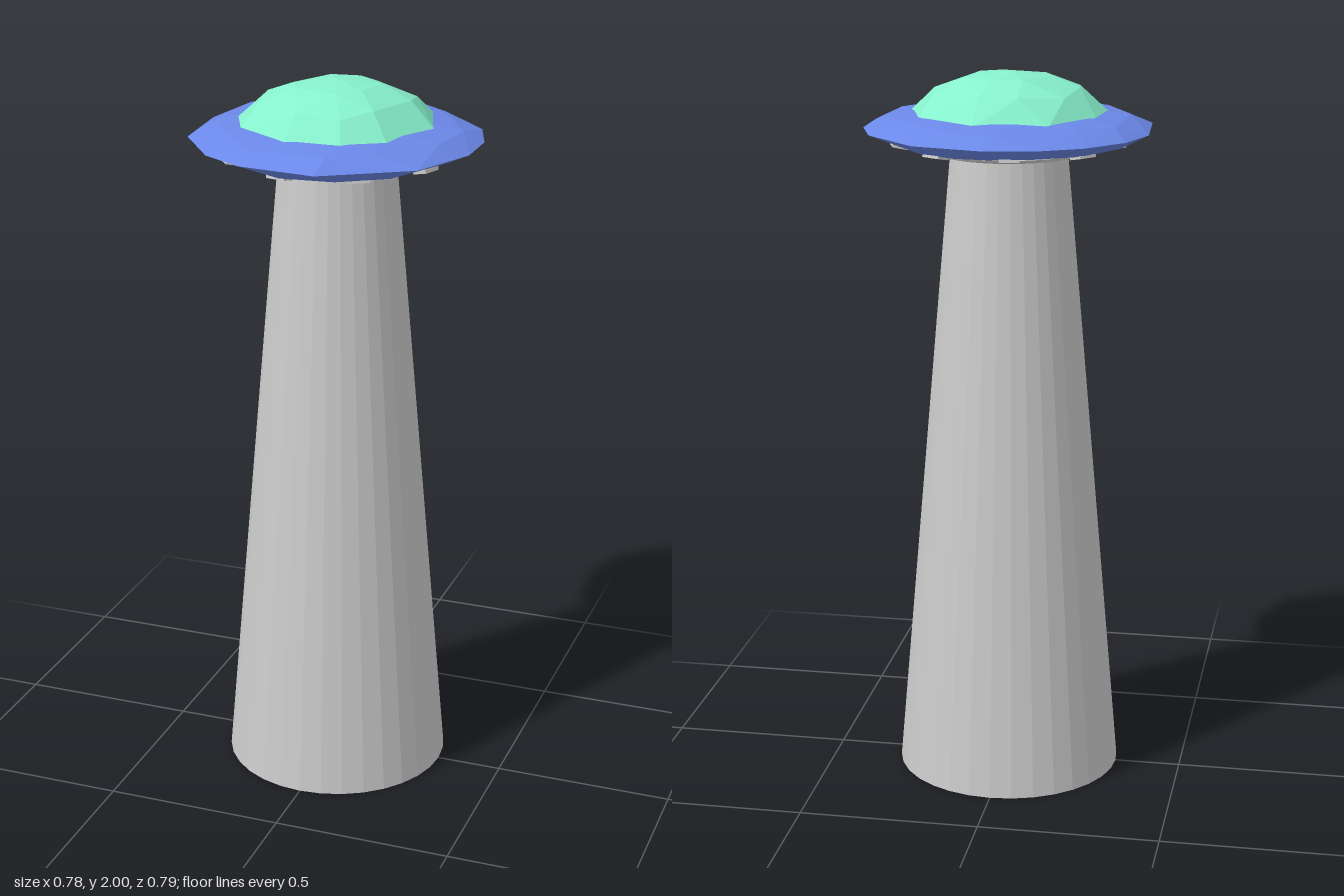
import * as THREE from 'three';
import { ConvexGeometry } from 'three/addons/geometries/ConvexGeometry.js';

const paint = (color, side = THREE.FrontSide) =>
  new THREE.MeshStandardMaterial({ color, flatShading: true, side });

// Outlines seen from above, as [x, z] corners.
const rimOutline = [
  [0, -0.397], [0.195, -0.35], [0.345, -0.2], [0.39, -0.07], [0.39, 0.07],
  [0.31, 0.255], [0.08, 0.395], [-0.135, 0.373], [-0.255, 0.305], [-0.375, 0.145],
  [-0.39, -0.07], [-0.345, -0.2], [-0.255, -0.305], [-0.135, -0.373],
];
const domeOutline = [
  [0.055, -0.27], [0.22, -0.17], [0.275, 0], [0.205, 0.185], [0.1, 0.258],
  [-0.055, 0.27], [-0.215, 0.175], [-0.27, 0.055], [-0.255, -0.095], [-0.145, -0.237],
];

const outlineAt = (outline, y) => outline.map(([x, z]) => new THREE.Vector3(x, y, z));

// Slightly uneven ring of points on a squashed sphere (radius a, height b, centre y).
function ring(count, r, a, b, y, phase) {
  return Array.from({ length: count }, (_, i) => {
    const t = ((i + phase + 0.18 * Math.sin(i * 2.7 + phase * 5)) / count) * Math.PI * 2;
    const d = r * (1 + 0.06 * Math.sin(i * 4.1 + phase * 3));
    return new THREE.Vector3(d * Math.sin(t), y + b * Math.sqrt(1 - (d / a) ** 2), d * Math.cos(t));
  });
}

export function createModel() {
  const model = new THREE.Group();
  model.name = 'saucerWithBeam';
  const add = (name, geometry, material, parent = model) => {
    const mesh = new THREE.Mesh(geometry, material);
    mesh.name = name;
    parent.add(mesh);
    return mesh;
  };
  const grey = paint(0xcccccc);
  const midY = 1.845;

  // Light beam: open tapered tube
  const beam = add('beam', new THREE.CylinderGeometry(0.158, 0.315, 1.81, 32, 1, true),
    paint(0xcccccc, THREE.DoubleSide));
  beam.position.y = 0.905;

  // Faceted saucer body
  const rimPoints = outlineAt(rimOutline, midY);
  for (const h of [0.063, -0.063]) {
    const phase = h > 0 ? 0.3 : 0.6;
    rimPoints.push(...ring(12, 0.33, 0.395, h, midY, phase));
    rimPoints.push(...ring(10, 0.235, 0.395, h, midY, phase + 0.4));
    rimPoints.push(...ring(6, 0.11, 0.395, h, midY, phase));
  }
  add('saucerBody', new ConvexGeometry(rimPoints), paint(0x6b88e8));

  // Faceted dome
  const domePoints = [
    ...outlineAt(domeOutline, 1.865),
    ...outlineAt(domeOutline, 1.883),
    ...ring(10, 0.205, 0.282, 0.155, midY, 0.5),
    ...ring(7, 0.115, 0.282, 0.155, midY, 0.2),
    new THREE.Vector3(-0.01, 2, -0.01),
  ];
  add('dome', new ConvexGeometry(domePoints), paint(0x86f0cc));

  // Flattened ring around the beam opening
  const collar = add('beamCollar', new THREE.TorusGeometry(0.203, 0.019, 8, 28), grey);
  collar.rotation.x = Math.PI / 2;
  collar.scale.z = 0.6;
  collar.position.y = 1.791;

  // Nine lamps set in the underside
  const lamps = new THREE.Group();
  lamps.name = 'lamps';
  model.add(lamps);
  const lampShape = new THREE.BoxGeometry(0.055, 0.022, 0.042);
  for (let i = 0; i < 9; i++) {
    const holder = new THREE.Group();
    holder.name = 'lampHolder';
    holder.rotation.y = THREE.MathUtils.degToRad(30 + 40 * i);
    lamps.add(holder);
    const lamp = add('lamp', lampShape, grey, holder);
    lamp.position.set(0, 1.81, 0.3);
    lamp.rotation.x = -0.2;
  }
  return model;
}
